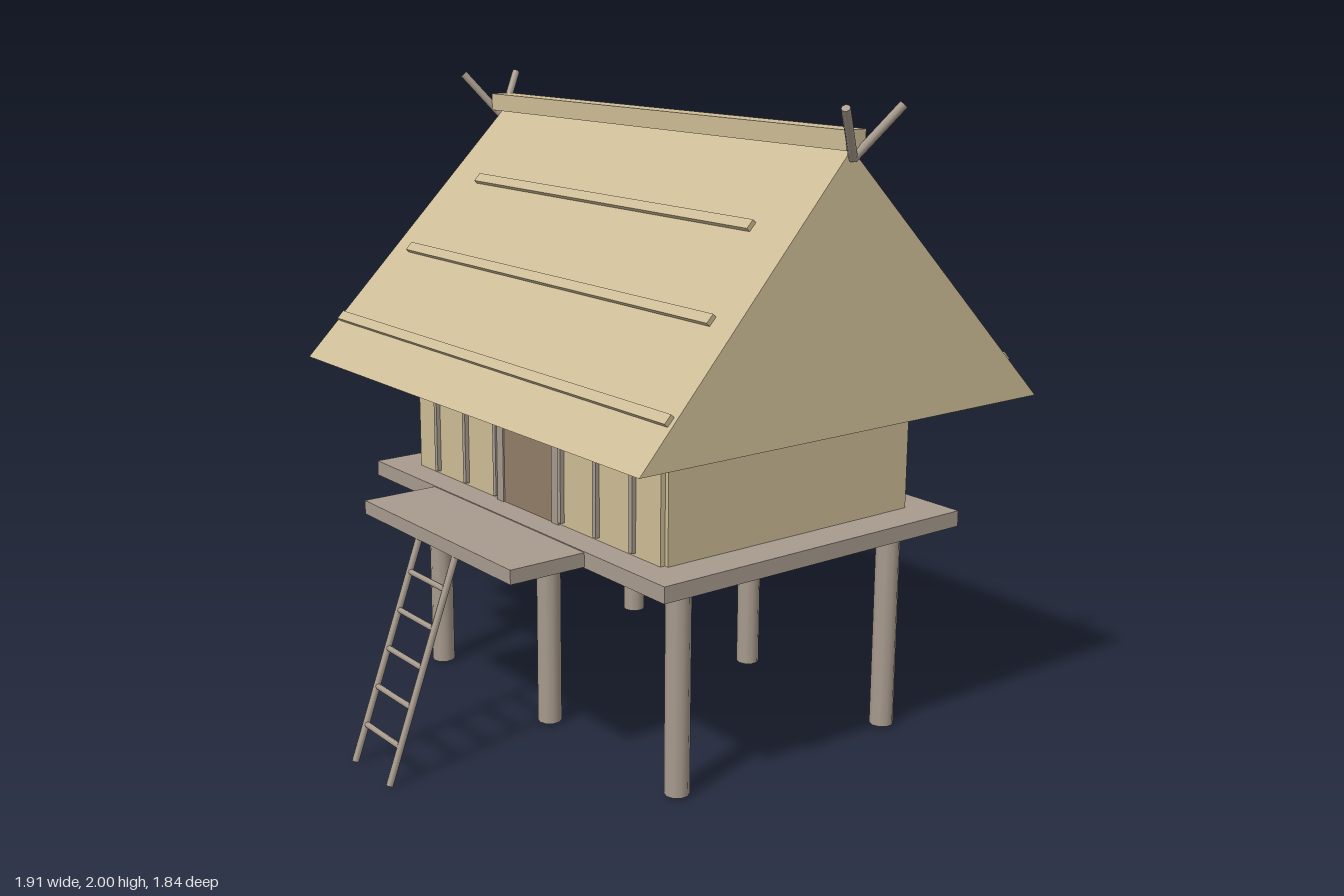
import * as THREE from 'three';

const mat = (name, color) => {
  const m = new THREE.MeshStandardMaterial({ color });
  m.name = name;
  return m;
};

export function createModel() {
  const house = new THREE.Group();
  house.name = 'stiltHouse';
  const thatch = mat('thatch', 0xcdbc96);
  const wood = mat('weatheredWood', 0xa89b8e);
  const doorWood = mat('doorWood', 0x927d69);
  const midZ = -0.16; // ridge line depth

  const add = (name, geometry, material) => {
    const mesh = new THREE.Mesh(geometry, material);
    mesh.name = name;
    house.add(mesh);
    return mesh;
  };
  // Box given by its min and max corners
  const box = (name, material, [x0, y0, z0], [x1, y1, z1]) => {
    const mesh = add(name, new THREE.BoxGeometry(x1 - x0, y1 - y0, z1 - z0), material);
    mesh.position.set((x0 + x1) / 2, (y0 + y1) / 2, (z0 + z1) / 2);
    return mesh;
  };
  // Round pole between two points
  const pole = (name, a, b, radius, sides = 8) => {
    const from = new THREE.Vector3(...a), to = new THREE.Vector3(...b);
    const dir = to.clone().sub(from);
    const mesh = add(name, new THREE.CylinderGeometry(radius, radius, dir.length(), sides), wood);
    mesh.position.copy(from).add(to).multiplyScalar(0.5);
    mesh.quaternion.setFromUnitVectors(new THREE.Vector3(0, 1, 0), dir.normalize());
    return mesh;
  };

  // Stilts
  for (const x of [-0.65, 0, 0.65])
    for (const z of [0.26, -0.575]) pole('stilt', [x, 0.01, z], [x, 0.68, z], 0.038, 10);

  // Deck and front porch
  box('deck', wood, [-0.787, 0.67, -0.737], [0.787, 0.72, 0.42]);
  box('porch', wood, [-0.415, 0.673, 0.4], [0.415, 0.717, 0.675]);

  // Walls
  box('frontWall', thatch, [-0.652, 0.72, 0.305], [0.652, 1.087, 0.328]);
  box('backWall', thatch, [-0.652, 0.72, -0.637], [0.652, 1.087, -0.615]);
  for (const s of [-1, 1])
    box('sideWall', thatch, [s * 0.655 - 0.011, 0.72, -0.628], [s * 0.655 + 0.011, 1.087, 0.312]);

  // Door with jambs, and battens on the front wall
  box('door', doorWood, [-0.132, 0.72, 0.325], [0.132, 1.087, 0.333]);
  for (const s of [-1, 1]) {
    box('doorJamb', wood, [s * 0.149 - 0.017, 0.72, 0.32], [s * 0.149 + 0.017, 1.087, 0.338]);
    for (const x of [0.177, 0.355, 0.53])
      box('wallBatten', wood, [s * x - 0.008, 0.73, 0.32], [s * x + 0.008, 1.087, 0.342]);
  }

  // Roof: closed prism whose ends lean inwards towards the ridge
  const eaveY = 1.085, ridgeY = 1.873, halfDepth = 0.76;
  const section = new THREE.Shape([
    new THREE.Vector2(-halfDepth, eaveY),
    new THREE.Vector2(halfDepth, eaveY),
    new THREE.Vector2(0, ridgeY),
  ]);
  const roof = new THREE.ExtrudeGeometry(section, { depth: 2, bevelEnabled: false });
  roof.translate(0, 0, -1).rotateY(Math.PI / 2);
  const p = roof.attributes.position;
  for (let i = 0; i < p.count; i++) {
    const halfWidth = p.getY(i) > 1.5 ? 0.86 : 0.907;
    p.setX(i, Math.sign(p.getX(i)) * halfWidth);
  }
  roof.computeVertexNormals();
  add('roof', roof, thatch).position.z = midZ;

  // Battens lying on both slopes
  const slope = Math.atan2(ridgeY - eaveY, halfDepth);
  for (const s of [-1, 1])
    for (const [y, half] of [[1.21, 0.884], [1.434, 0.789], [1.658, 0.696]]) {
      const batten = add('roofBatten', new THREE.BoxGeometry(half * 2, 0.02, 0.032), thatch);
      const out = (halfDepth * (ridgeY - y)) / (ridgeY - eaveY);
      batten.position.set(0, y + 0.003, midZ + s * (out + 0.003));
      batten.rotation.x = s * slope;
    }

  // Ridge cap and crossed poles at each end
  box('ridgeCap', thatch, [-0.876, 1.87, midZ - 0.036], [0.876, 1.926, midZ + 0.036]);
  for (const sx of [-1, 1])
    for (const sz of [-1, 1])
      pole('ridgePole', [sx * 0.866, 1.846, midZ], [sx * 0.943, 1.992, midZ + sz * 0.108], 0.013);

  // Ladder
  const foot = [0.008, 0.907], head = [0.672, 0.663];
  for (const s of [-1, 1]) pole('ladderRail', [s * 0.104, ...foot], [s * 0.104, ...head], 0.011);
  for (let i = 0; i < 5; i++) {
    const y = 0.12 + i * 0.1135;
    const z = THREE.MathUtils.mapLinear(y, foot[0], head[0], foot[1], head[1]);
    pole('ladderRung', [-0.104, y, z], [0.104, y, z], 0.009);
  }

  return house;
}
